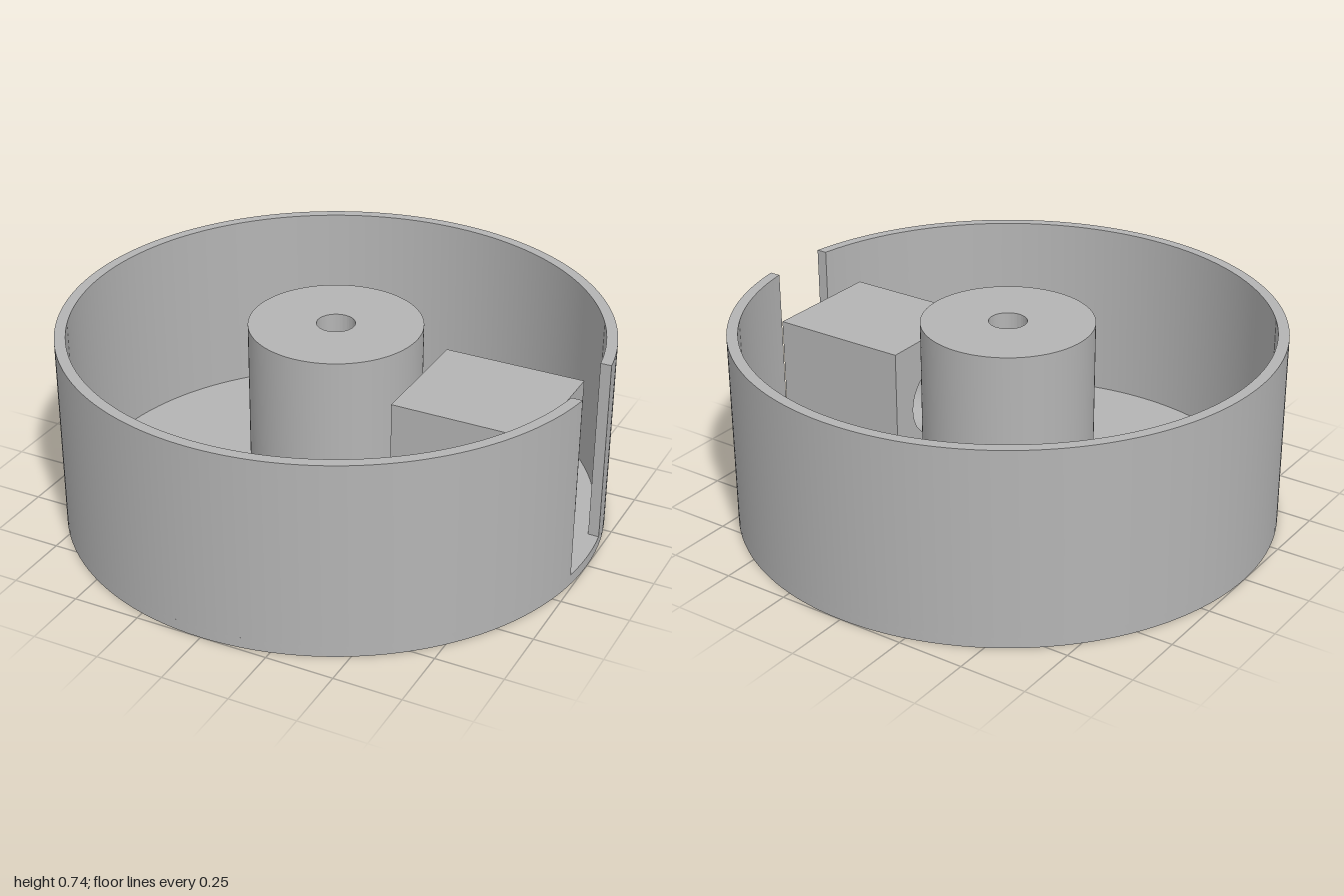
import * as THREE from 'three';
import { toCreasedNormals } from 'three/addons/utils/BufferGeometryUtils.js';

const HEIGHT = 0.735, FLOOR = 0.04, OUTER = 1, INNER = 0.96;
const SLOT = 0.138;            // half width of the wall slot
const HUB = 0.315, RECESS = 0.267, BORE = 0.07;

export function createModel() {
  const group = new THREE.Group();
  const grey = new THREE.MeshStandardMaterial({ color: 0xb4b4b4 });
  grey.name = 'plain grey';

  const add = (name, geometry) => {
    const mesh = new THREE.Mesh(toCreasedNormals(geometry, 0.5), grey);
    mesh.name = name;
    group.add(mesh);
    return mesh;
  };
  const lathe = (points) =>
    new THREE.LatheGeometry(points.map(([r, y]) => new THREE.Vector2(r, y)), 128);

  // Floor disc around the hub
  add('floor', lathe([[HUB, 0], [OUTER, 0], [OUTER, FLOOR], [HUB, FLOOR]]));

  // Hub with a narrow bore that flares into a recess underneath
  add('hub', lathe([
    [RECESS, 0], [HUB, 0], [HUB, HEIGHT], [BORE, HEIGHT],
    [BORE, 0.377], [RECESS, 0.18], [RECESS, 0],
  ]));

  // Round wall, open at the slot on +x
  const a = Math.asin(SLOT / OUTER), b = Math.asin(SLOT / INNER);
  const ring = new THREE.Shape();
  ring.absarc(0, 0, OUTER, a, Math.PI * 2 - a, false);
  ring.absarc(0, 0, INNER, Math.PI * 2 - b, b, true);
  ring.closePath();
  const wall = new THREE.ExtrudeGeometry(ring, {
    depth: HEIGHT - FLOOR, bevelEnabled: false, curveSegments: 128,
  });
  wall.rotateX(-Math.PI / 2);
  wall.translate(0, FLOOR, 0);
  add('wall', wall);

  // Block behind the slot, with a round hole through it along x
  const face = new THREE.Shape();
  face.moveTo(-0.233, FLOOR);
  face.lineTo(0.233, FLOOR);
  face.lineTo(0.233, 0.6);
  face.lineTo(-0.233, 0.6);
  face.closePath();
  const hole = new THREE.Path();
  hole.absarc(0, 0.335, 0.135, 0, Math.PI * 2, true);
  face.holes.push(hole);
  const block = new THREE.ExtrudeGeometry(face, {
    depth: 0.53, bevelEnabled: false, curveSegments: 48,
  });
  block.rotateY(Math.PI / 2);
  block.translate(0.333, 0, 0);
  add('drilledBlock', block);

  return group;
}
